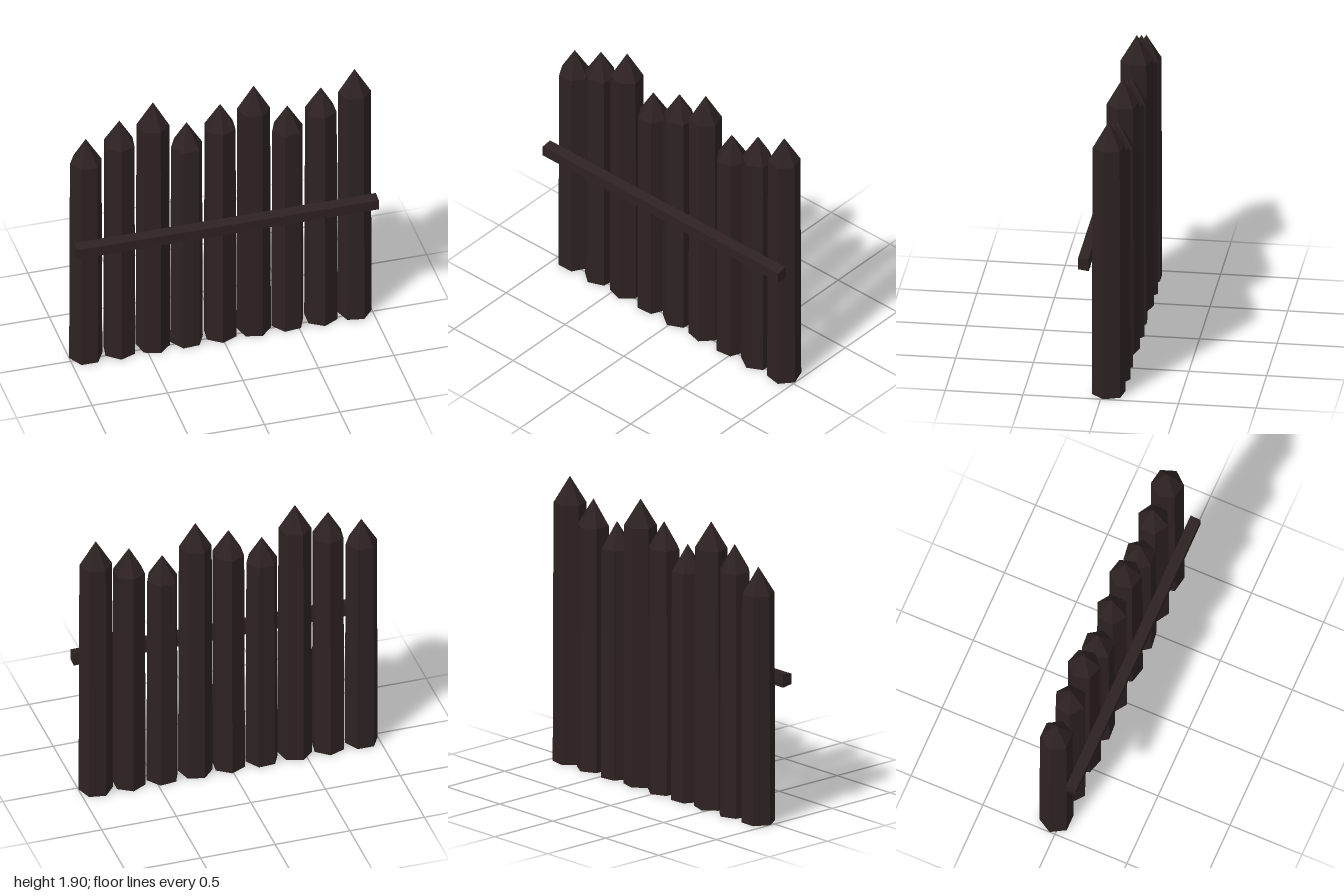
import * as THREE from 'three';

const COUNT = 9;
const SPACING = 0.2225;
const POST_Z = -0.037;

// Six-sided, slightly tapered post with a pointed tip
function createStake(height, material) {
  const profile = [[0, 0], [0.11, 0], [0.105, height - 0.175], [0, height]]
    .map(([r, y]) => new THREE.Vector2(r, y));
  return new THREE.Mesh(new THREE.LatheGeometry(profile, 6), material);
}

// Crossbar with a trapezoid section, narrower on its front face
function createRail(material) {
  const section = new THREE.Shape([
    new THREE.Vector2(-0.147, 0.903),
    new THREE.Vector2(-0.077, 0.893),
    new THREE.Vector2(-0.077, 0.983),
    new THREE.Vector2(-0.147, 0.973),
  ]);
  const geometry = new THREE.ExtrudeGeometry(section, { depth: 2, bevelEnabled: false });
  geometry.translate(0, 0, -1);
  geometry.rotateY(Math.PI / 2); // section x becomes -z, length runs along x
  return new THREE.Mesh(geometry, material);
}

export function createModel() {
  const wood = new THREE.MeshStandardMaterial({ color: 0x2e2222, flatShading: true });
  wood.name = 'dark wood';

  const fence = new THREE.Group();
  fence.name = 'palisade';

  // Row of stakes: heights step in threes, each turned a little further
  for (let i = 0; i < COUNT; i++) {
    const stake = createStake(1.7 + 0.1 * (i % 3), wood);
    stake.name = `stake${i + 1}`;
    stake.position.set((i - (COUNT - 1) / 2) * SPACING, 0, POST_Z);
    stake.rotation.y = Math.PI / 6 + i * 0.37;
    fence.add(stake);
  }

  const rail = createRail(wood);
  rail.name = 'crossRail';
  fence.add(rail);
  return fence;
}
